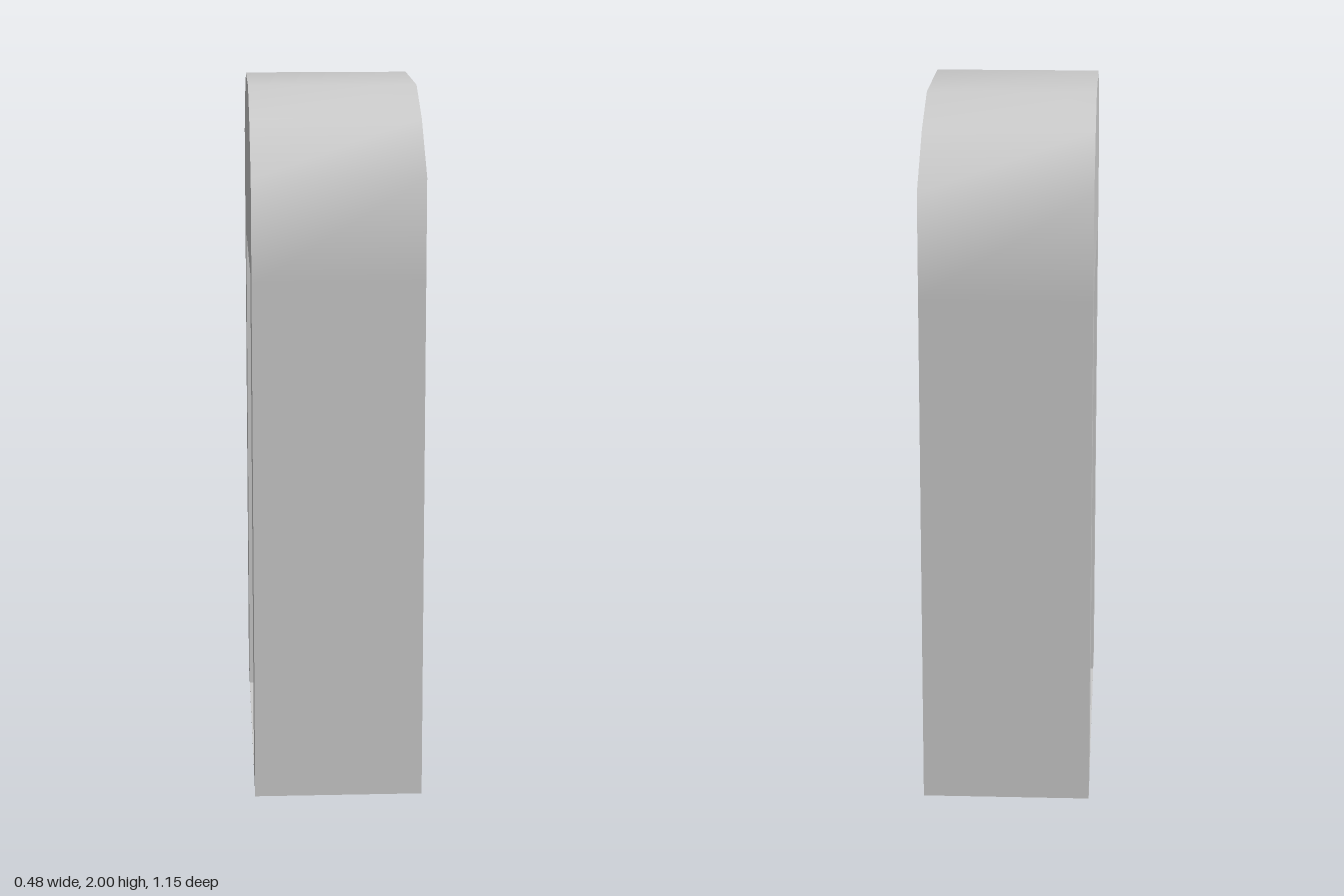
import * as THREE from 'three';
import { toCreasedNormals } from 'three/addons/utils/BufferGeometryUtils.js';

const THICK = 0.48;          // slab thickness along x
const PANEL_X = 0.15;        // depth at which the recessed panels sit
const DOOR = { half: 0.385, top: 1.49, sill: 0.004 };

export function createModel() {
  const group = new THREE.Group();
  const material = new THREE.MeshStandardMaterial({ color: 0xcccccc });

  // Half of the arched outline, mirrored to give the whole
  const half = [[0.575, 0], [0.575, DOOR.top], [0.575, 1.785], [0.385, 1.925], [0.2, 2]];
  const mirrored = half.map(([x, y]) => [-x, y]).reverse();
  const shape = new THREE.Shape([...half, ...mirrored].map(([x, y]) => new THREE.Vector2(x, y)));

  // Doorway opening
  const { half: w, top, sill } = DOOR;
  shape.holes.push(new THREE.Path([
    new THREE.Vector2(-w, sill), new THREE.Vector2(-w, top),
    new THREE.Vector2(w, top), new THREE.Vector2(w, sill),
  ]));

  // Arched surround, smooth over the top and sharp at the other edges
  const extruded = new THREE.ExtrudeGeometry(shape, { depth: THICK, bevelEnabled: false });
  extruded.translate(0, 0, -THICK / 2).rotateY(Math.PI / 2);
  const surround = new THREE.Mesh(toCreasedNormals(extruded, Math.PI / 3), material);
  surround.name = 'archedSurround';
  group.add(surround);

  // Recessed door panel on each broad side
  for (const side of [1, -1]) {
    const panel = new THREE.Mesh(new THREE.PlaneGeometry(2 * w, top - sill), material);
    panel.name = side > 0 ? 'leftDoorPanel' : 'rightDoorPanel';
    panel.position.set(side * PANEL_X, (top + sill) / 2, 0);
    panel.rotation.y = side * Math.PI / 2;
    group.add(panel);
  }
  return group;
}
